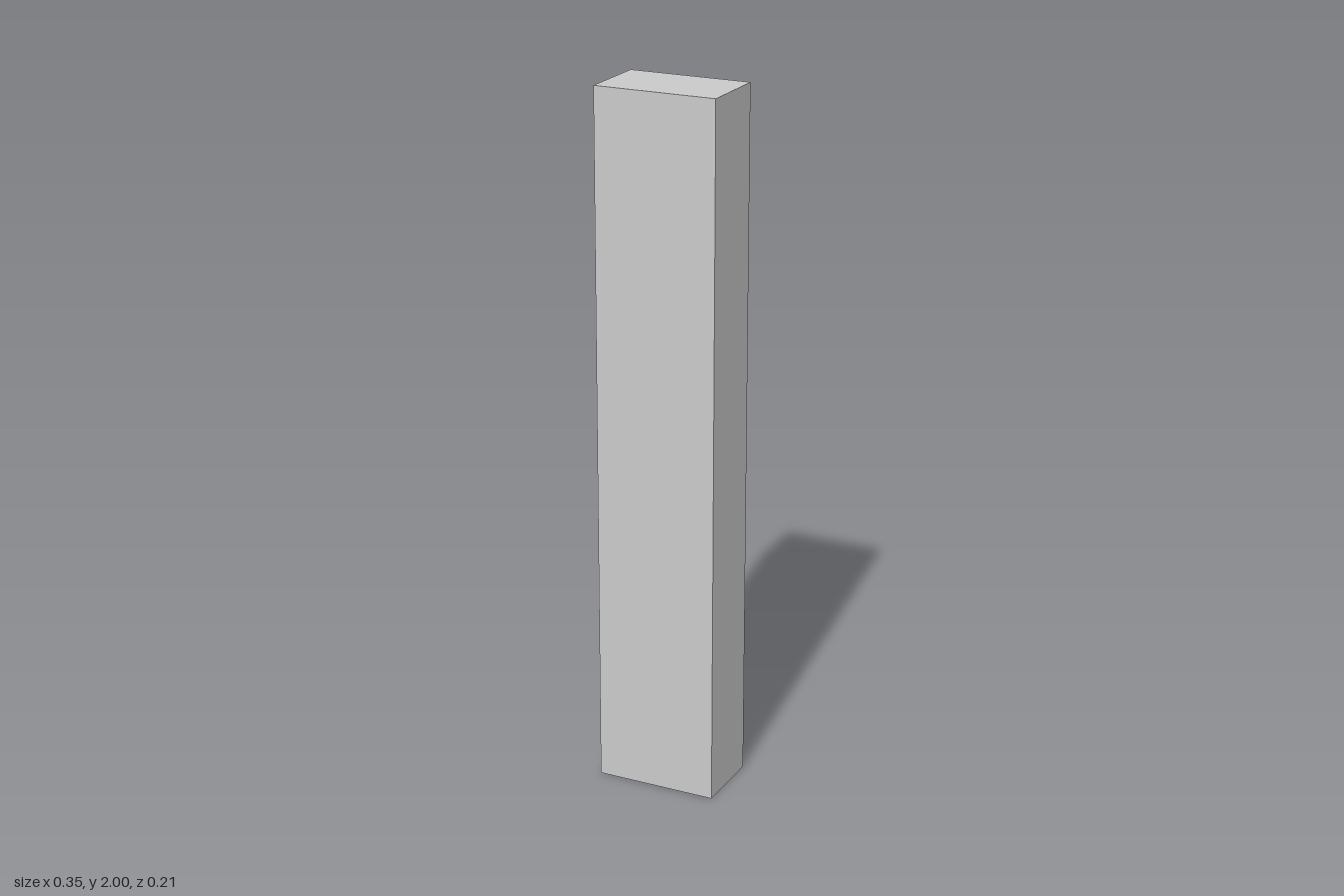
import * as THREE from 'three';

const W = 0.35, H = 2, D = 0.213;
const HOLE_X = 0.125, HOLE_BOTTOM = 0.07, HOLE_TOP = 1.93, RADIUS = 0.04;
const FLOOR_Z = 0.06; // inner face of the front panel

export function createModel() {
  const group = new THREE.Group();
  const material = new THREE.MeshStandardMaterial({ color: 0xcccccc, flatShading: true });

  function add(name, geometry, x = 0, y = 0, z = 0) {
    const mesh = new THREE.Mesh(geometry, material);
    mesh.name = name;
    mesh.position.set(x, y, z);
    group.add(mesh);
    return mesh;
  }

  // Casing walls with a rounded opening at the back
  const outline = new THREE.Shape();
  outline.moveTo(-W / 2, 0).lineTo(W / 2, 0).lineTo(W / 2, H).lineTo(-W / 2, H).closePath();
  const hole = new THREE.Path();
  const corners = [
    [HOLE_X - RADIUS, HOLE_BOTTOM + RADIUS, -Math.PI / 2],
    [HOLE_X - RADIUS, HOLE_TOP - RADIUS, 0],
    [-HOLE_X + RADIUS, HOLE_TOP - RADIUS, Math.PI / 2],
    [-HOLE_X + RADIUS, HOLE_BOTTOM + RADIUS, Math.PI],
  ];
  for (const [x, y, start] of corners) hole.absarc(x, y, RADIUS, start, start + Math.PI / 2);
  hole.closePath();
  outline.holes.push(hole);
  add('casing', new THREE.ExtrudeGeometry(outline, {
    depth: FLOOR_Z + D / 2, bevelEnabled: false, curveSegments: 6,
  }), 0, 0, -D / 2);

  // Closed front
  const panelDepth = D / 2 - FLOOR_Z;
  add('frontPanel', new THREE.BoxGeometry(W, H, panelDepth), 0, H / 2, D / 2 - panelDepth / 2);

  // Sloping corner strips and small clips inside the long walls
  for (const side of [-1, 1]) {
    const strip = new THREE.Shape();
    strip.moveTo(side * HOLE_X, -FLOOR_Z);
    strip.lineTo(side * (HOLE_X - 0.04), -FLOOR_Z);
    strip.lineTo(side * HOLE_X, -0.015);
    strip.closePath();
    const geometry = new THREE.ExtrudeGeometry(strip, { depth: 1.66, bevelEnabled: false });
    geometry.rotateX(-Math.PI / 2);
    add('cornerStrip', geometry, 0, 0.25, 0);
  }
  for (const y of [0.89, 1.4]) {
    add('clip', new THREE.BoxGeometry(0.03, 0.1, 0.035), -0.108, y, 0.022);
  }

  // Sloping wedge under the inner ceiling
  const wedge = new THREE.Shape();
  wedge.moveTo(-FLOOR_Z, 1.86).lineTo(-FLOOR_Z, HOLE_TOP).lineTo(0.01, HOLE_TOP).closePath();
  const wedgeGeometry = new THREE.ExtrudeGeometry(wedge, { depth: HOLE_X * 2, bevelEnabled: false });
  wedgeGeometry.rotateY(Math.PI / 2);
  add('ceilingWedge', wedgeGeometry, -HOLE_X, 0, 0);

  // Raised middle panel between two crossbars
  add('middlePanel', new THREE.BoxGeometry(0.17, 0.57, 0.01), 0, 0.96, FLOOR_Z - 0.005);
  for (const y of [0.66, 1.26]) {
    add('crossbar', new THREE.BoxGeometry(HOLE_X * 2, 0.04, 0.025), 0, y, FLOOR_Z - 0.0125);
  }

  return group;
}
